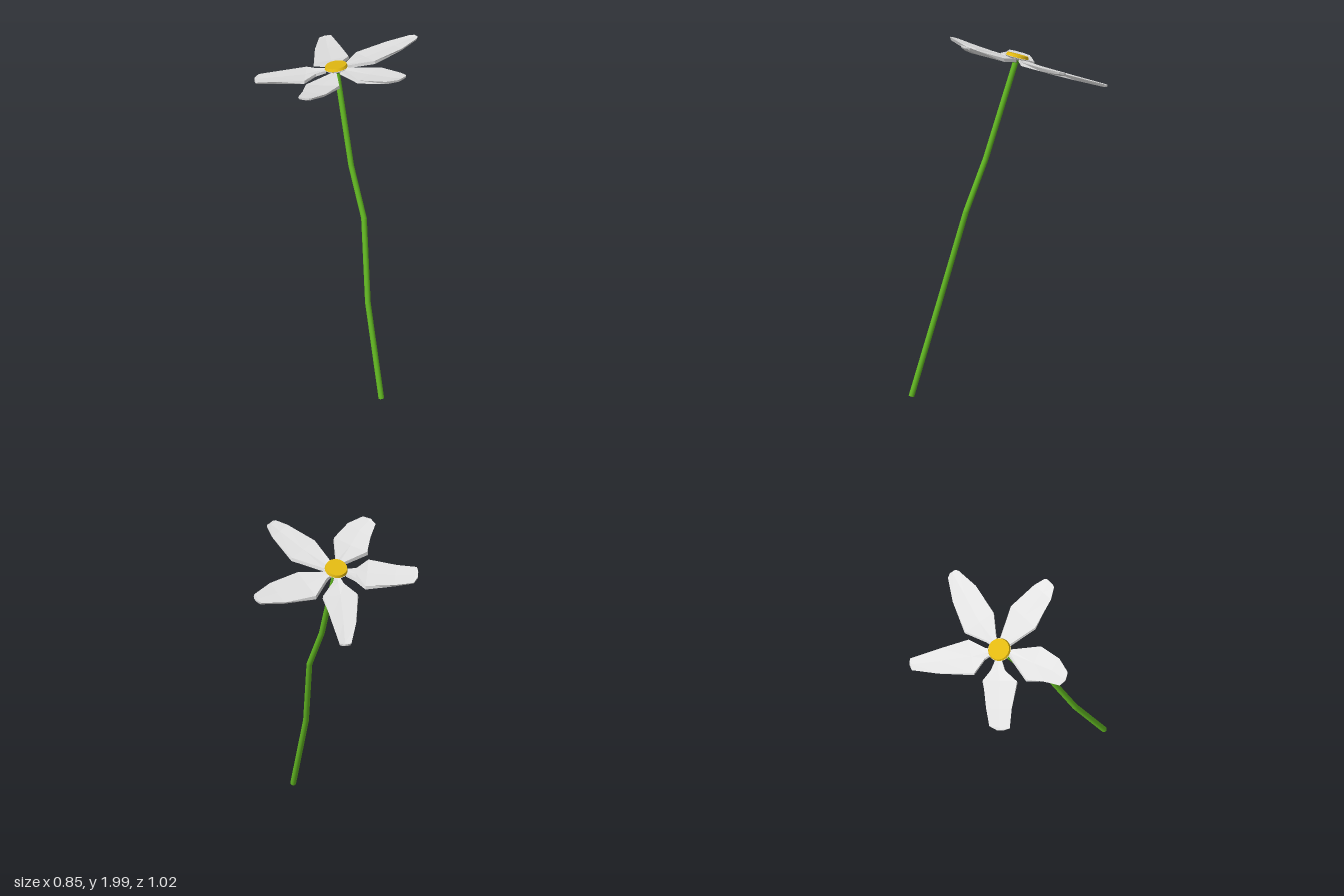
import * as THREE from 'three';

const white = new THREE.MeshStandardMaterial({ color: 0xe4e4e4, flatShading: true });
white.name = 'petalWhite';
const yellow = new THREE.MeshStandardMaterial({ color: 0xe6bc12 });
yellow.name = 'centreYellow';
const green = new THREE.MeshStandardMaterial({ color: 0x62b822 });
green.name = 'stemGreen';

// The flower head lies on a tilted plane through its centre.
const CX = 0.015, CY = 1.87, CZ = -0.03, SX = 0.18, SZ = 0.23;
const headY = (x, z) => CY + SX * (x - CX) + SZ * (z - CZ);

// Outline rows from neck to tip: left x, z, right x, z (looking outward).
const petals = [
  { name: 'backPetal', droop: 0.03, rows: [
    [-0.035, -0.1, 0.022, -0.11], [-0.12, -0.145, 0.062, -0.21], [-0.14, -0.34, 0, -0.355],
    [-0.135, -0.49, -0.066, -0.5], [-0.105, -0.51, -0.072, -0.512]] },
  { name: 'backLeftPetal', droop: 0, rows: [
    [0.06, -0.105, 0.1, -0.065], [0.1, -0.235, 0.22, -0.1], [0.255, -0.335, 0.355, -0.225],
    [0.38, -0.385, 0.426, -0.335], [0.405, -0.38, 0.427, -0.355]] },
  { name: 'frontLeftPetal', droop: 0, rows: [
    [0.08, -0.035, 0.05, 0.02], [0.265, -0.01, 0.16, 0.145], [0.39, 0.095, 0.32, 0.203],
    [0.425, 0.145, 0.385, 0.207], [0.426, 0.16, 0.4, 0.197]] },
  { name: 'frontPetal', droop: 0, rows: [
    [0.025, 0.03, -0.008, 0.03], [0.06, 0.195, -0.13, 0.15], [0, 0.31, -0.135, 0.25],
    [-0.07, 0.368, -0.15, 0.34], [-0.085, 0.37, -0.12, 0.366]] },
  { name: 'rightPetal', droop: 0, rows: [
    [-0.09, 0.02, -0.095, -0.052], [-0.145, 0.1, -0.155, -0.088], [-0.3, 0.1, -0.31, -0.042],
    [-0.412, 0.11, -0.41, -0.005], [-0.424, 0.08, -0.427, 0.04]] },
];
const DIP = [0.012, 0.014, 0.017, 0.01, 0.002, 0];
const THICK = [0.016, 0.018, 0.02, 0.02, 0.015, 0.01];
const INSET = [-0.05, -0.08, -0.02, 0.08, 0.1, 0.05];

// A petal is lofted through six-point sections: three on top, three below.
function petalGeometry({ rows, droop }) {
  const [a, b, c, d] = rows[0];
  const base = [a, b, c, d].map((v, i) => THREE.MathUtils.lerp(i % 2 ? CZ : CX, v, 0.5));
  const rings = [base, ...rows].map(([lx, lz, rx, rz], i) => {
    const at = (t, down) => {
      const x = THREE.MathUtils.lerp(lx, rx, t), z = THREE.MathUtils.lerp(lz, rz, t);
      const sag = DIP[i] + droop * Math.hypot(x - CX, z - CZ) / 0.5;
      return [x, headY(x, z) - sag - down, z];
    };
    const t = THICK[i], e = INSET[i];
    return [at(0, 0), at(0.5, 0.003), at(1, 0), at(1 - e, t), at(0.5, t + 0.003), at(e, t)];
  });
  const pos = [];
  const tri = (...p) => p.forEach((v) => pos.push(...v));
  for (let i = 0; i < rings.length - 1; i++) {
    for (let k = 0; k < 6; k++) {
      const n = (k + 1) % 6, p = rings[i], q = rings[i + 1];
      tri(p[k], p[n], q[n]);
      tri(p[k], q[n], q[k]);
    }
  }
  const first = rings[0], last = rings[rings.length - 1];
  for (let k = 1; k < 5; k++) {
    tri(last[0], last[k], last[k + 1]);
    tri(first[0], first[k + 1], first[k]);
  }
  const g = new THREE.BufferGeometry();
  g.setAttribute('position', new THREE.Float32BufferAttribute(pos, 3));
  g.computeVertexNormals();
  return g;
}

export function createModel() {
  const model = new THREE.Group();
  const up = new THREE.Vector3(0, 1, 0);
  const add = (parent, name, geometry, material) => {
    const mesh = new THREE.Mesh(geometry, material);
    mesh.name = name;
    parent.add(mesh);
    return mesh;
  };

  // Bent stem: straight rods with rounded joints
  const stem = new THREE.Group();
  stem.name = 'stem';
  const path = [[0.33, 0.004, 0.497], [0.238, 0.545, 0.352], [0.2, 1.025, 0.218],
    [0.118, 1.31, 0.125], [0.018, 1.855, -0.026]].map((p) => new THREE.Vector3(...p));
  for (let i = 0; i < path.length - 1; i++) {
    const dir = path[i + 1].clone().sub(path[i]);
    const rod = add(stem, 'stemSegment', new THREE.CylinderGeometry(0.016, 0.016, dir.length(), 12), green);
    rod.position.copy(path[i]).addScaledVector(dir, 0.5);
    rod.quaternion.setFromUnitVectors(up, dir.normalize());
    if (i > 0) add(stem, 'stemJoint', new THREE.SphereGeometry(0.016, 12, 8), green).position.copy(path[i]);
  }
  model.add(stem);

  // Petals
  const flower = new THREE.Group();
  flower.name = 'flower';
  for (const p of petals) add(flower, p.name, petalGeometry(p), white);

  // Tilted head: yellow disc, white ring where the necks meet, green cup below
  const head = new THREE.Group();
  head.name = 'flowerHead';
  head.position.set(CX, CY, CZ);
  head.quaternion.setFromUnitVectors(up, new THREE.Vector3(-SX, 1, -SZ).normalize());
  add(head, 'centreDisc', new THREE.CylinderGeometry(0.059, 0.064, 0.016, 28), yellow).position.y = 0.002;
  add(head, 'petalRing', new THREE.CylinderGeometry(0.066, 0.05, 0.012, 20), white).position.y = -0.014;
  add(head, 'calyx', new THREE.CylinderGeometry(0.046, 0.018, 0.018, 16), green).position.y = -0.029;
  flower.add(head);
  model.add(flower);
  return model;
}
